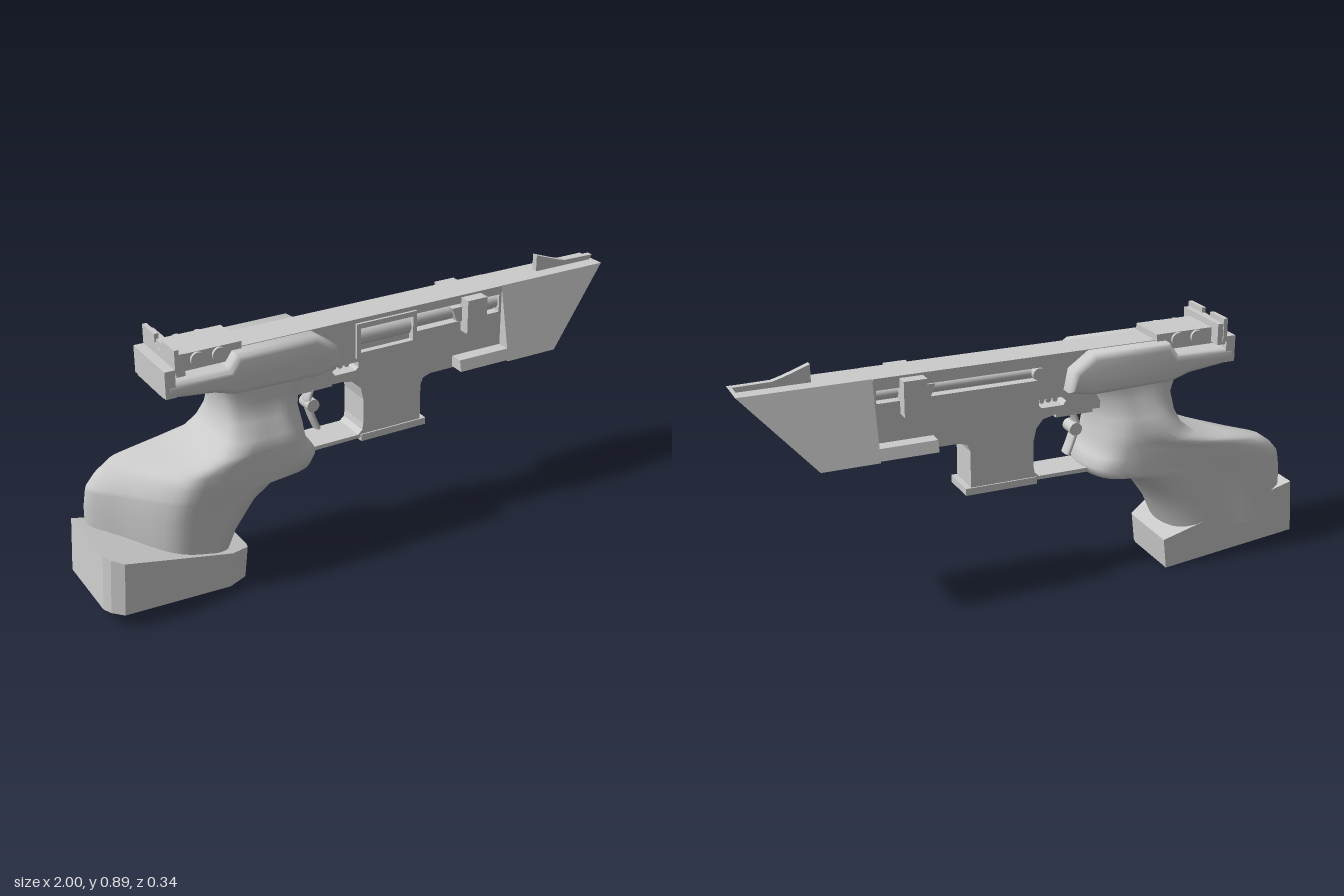
import * as THREE from 'three';
import { toCreasedNormals } from 'three/addons/utils/BufferGeometryUtils.js';

const ZC = -0.01; // centre plane of the frame
const material = new THREE.MeshStandardMaterial({ color: 0xcccccc });
const doubleSided = new THREE.MeshStandardMaterial({ color: 0xcccccc, side: THREE.DoubleSide });

const shapeOf = (pts, holes = []) => {
  const s = new THREE.Shape(pts.map(p => new THREE.Vector2(...p)));
  holes.forEach(h => s.holes.push(new THREE.Path(h.map(p => new THREE.Vector2(...p)))));
  return s;
};
const rect = (x0, x1, y0, y1) => [[x0, y0], [x1, y0], [x1, y1], [x0, y1]];

export function createModel() {
  const root = new THREE.Group();
  const add = (name, geo, mat = material) => {
    const m = new THREE.Mesh(geo, mat);
    m.name = name;
    root.add(m);
    return m;
  };
  // side outline extruded between two z values
  const slab = (name, pts, z0, z1, holes) => add(name, new THREE.ExtrudeGeometry(
    shapeOf(pts, holes), { depth: z1 - z0, bevelEnabled: false }).translate(0, 0, z0));
  const box = (name, x0, x1, y0, y1, z0, z1) => add(name,
    new THREE.BoxGeometry(x1 - x0, y1 - y0, z1 - z0)
      .translate((x0 + x1) / 2, (y0 + y1) / 2, (z0 + z1) / 2));
  const rodX = (name, x0, x1, y, z, r) => add(name,
    new THREE.CylinderGeometry(r, r, x1 - x0, 24).rotateZ(Math.PI / 2)
      .translate((x0 + x1) / 2, y, z));
  const rodZ = (name, x, y, z0, z1, r) => add(name,
    new THREE.CylinderGeometry(r, r, z1 - z0, 20).rotateX(Math.PI / 2)
      .translate(x, y, (z0 + z1) / 2));

  // Frame: a core between two side skins that carry the recesses
  const outline = [[-0.46, 0.83], [0.56, 0.83], [0.56, 0.565], [0.27, 0.565], [0.24, 0.555],
    [0.23, 0.53], [0.23, 0.39], [-0.22, 0.385], [-0.32, 0.42], [-0.32, 0.66], [-0.46, 0.7]];
  const guardHole = [[-0.26, 0.4], [-0.02, 0.4], [-0.004, 0.415], [0, 0.44], [0, 0.53],
    [-0.01, 0.575], [-0.035, 0.605], [-0.08, 0.615], [-0.26, 0.615]];
  const smallHole = [[-0.11, 0.645], [-0.03, 0.645], [-0.02, 0.655], [-0.02, 0.675],
    [-0.11, 0.675], [-0.12, 0.66]];
  const open = [guardHole, smallHole];
  slab('frameCore', outline, ZC - 0.03, ZC + 0.03, open);
  slab('frameLeftSkin', outline, ZC + 0.03, ZC + 0.063,
    [...open, [[-0.03, 0.7], [-0.02, 0.69], [0.19, 0.69], [0.2, 0.7], [0.2, 0.735], [0.55, 0.735],
      [0.55, 0.8], [0.2, 0.8], [0.19, 0.81], [-0.02, 0.81], [-0.03, 0.8]]]);
  slab('frameRightSkin', outline, ZC - 0.063, ZC - 0.03,
    [...open, [[-0.04, 0.765], [-0.03, 0.745], [0.55, 0.745], [0.55, 0.79], [-0.03, 0.79]]]);
  box('magazineBase', -0.01, 0.25, 0.375, 0.4, ZC - 0.068, ZC + 0.068);
  for (const x of [-0.095, -0.07, -0.045]) rodZ('adjustScrew', x, 0.657, ZC - 0.03, ZC + 0.03, 0.009);

  // Loading port, bolt and cocking levers
  slab('portFrame', rect(-0.03, 0.205, 0.69, 0.815), ZC + 0.05, ZC + 0.072,
    [rect(-0.015, 0.19, 0.71, 0.797)]);
  rodX('bolt', -0.03, 0.2, 0.755, ZC + 0.028, 0.033);
  rodX('leftRod', 0.2, 0.55, 0.767, ZC + 0.03, 0.026);
  rodX('rightRod', -0.03, 0.55, 0.767, ZC - 0.03, 0.018);
  rodZ('rightPin', -0.02, 0.767, ZC - 0.066, ZC - 0.03, 0.022);
  for (const s of [1, -1]) {
    const [a, b] = [ZC + s * 0.04, ZC + s * 0.105].sort((p, q) => p - q);
    box('cockingLever', 0.39, 0.47, 0.7, 0.822, a, b);
    slab('leverRamp', [[0.35, 0.79], [0.4, 0.79], [0.4, 0.735], [0.37, 0.74]],
      ...[ZC + s * 0.04, ZC + s * 0.07].sort((p, q) => p - q));
  }

  // Barrel shroud: trapezoid section with bore, cut by a sloping muzzle plane
  const halfWidth = y => 0.061 + (0.83 - y) * 0.226;
  const trapezoid = (y0, y1) => [[-halfWidth(y0), y0], [halfWidth(y0), y0],
    [halfWidth(y1), y1], [-halfWidth(y1), y1]];
  const alongX = (name, shape, x0, x1) => {
    const g = new THREE.ExtrudeGeometry(shape, { depth: 1, bevelEnabled: false, curveSegments: 20 })
      .rotateY(Math.PI / 2).translate(0, 0, ZC);
    const p = g.attributes.position;
    for (let i = 0; i < p.count; i++) p.setX(i, p.getX(i) > 0.5 ? x1(p.getY(i)) : x0);
    g.computeVertexNormals();
    return add(name, g);
  };
  const shroud = shapeOf(trapezoid(0.565, 0.83));
  shroud.holes.push(new THREE.Path().absarc(0, 0.75, 0.027, 0, Math.PI * 2, true));
  alongX('barrelShroud', shroud, 0.56, y => 0.76 + (y - 0.565) * 0.9);
  alongX('shroudLedge', shapeOf(trapezoid(0.57, 0.61)), 0.36, () => 0.56);

  // Sights
  slab('frontSight', [[0.745, 0.83], [0.985, 0.83], [0.995, 0.847], [0.87, 0.849], [0.83, 0.86],
    [0.745, 0.89]], ZC - 0.011, ZC + 0.011);
  box('rearSightBlock', -0.69, -0.455, 0.795, 0.853, ZC - 0.075, ZC + 0.075);
  box('rearSightRail', -0.5, -0.46, 0.78, 0.835, ZC - 0.063, ZC + 0.063);
  const blade = new THREE.ExtrudeGeometry(shapeOf([[-0.122, 0.81], [0.122, 0.81], [0.122, 0.893],
    [0.028, 0.893], [0.028, 0.865], [0.01, 0.852], [-0.01, 0.852], [-0.028, 0.865],
    [-0.028, 0.893], [-0.122, 0.893]]), { depth: 0.015, bevelEnabled: false });
  add('rearSightBlade', blade.rotateY(Math.PI / 2).translate(-0.705, 0, ZC));
  box('rearSightFoot', -0.7, -0.67, 0.8, 0.875, ZC - 0.118, ZC + 0.118);
  for (const x of [-0.61, -0.535]) rodZ('sightScrew', x, 0.828, ZC - 0.085, ZC + 0.085, 0.024);

  // Trigger
  const curve = new THREE.CatmullRomCurve3([[-0.17, 0.6], [-0.185, 0.55], [-0.17, 0.49], [-0.15, 0.44]]
    .map(([x, y]) => new THREE.Vector3(x, y, ZC)));
  add('triggerBlade', new THREE.TubeGeometry(curve, 20, 0.011, 10).translate(0, 0, -ZC)
    .scale(1, 1, 2.5).translate(0, 0, ZC));
  box('triggerBar', -0.24, -0.1, 0.588, 0.606, ZC - 0.025, ZC + 0.025);
  rodZ('triggerPivot', -0.175, 0.535, ZC - 0.03, ZC + 0.03, 0.023);

  // Hand rest over the grip, with rounded edges
  const rest = new THREE.ExtrudeGeometry(shapeOf([[-0.74, 0.785], [-0.52, 0.785], [-0.49, 0.828],
    [-0.2, 0.828], [-0.125, 0.775], [-0.11, 0.7], [-0.2, 0.682], [-0.5, 0.69], [-0.57, 0.712],
    [-0.74, 0.732]]), { depth: 0.195, bevelSize: 0.022, bevelOffset: -0.022, bevelThickness: 0.025,
    bevelSegments: 4 });
  add('handRest', toCreasedNormals(rest.translate(0, 0, ZC - 0.0985), 0.8));
  box('handRestEnd', -0.74, -0.705, 0.735, 0.828, ZC - 0.12, ZC + 0.12);

  // Grip: y, rear x on the right, rear x on the left, front x, left z, right z
  const levels = [
    [0.12, -0.95, -0.76, -0.52, 0.125, -0.165], [0.2, -0.957, -0.76, -0.485, 0.128, -0.165],
    [0.3, -0.955, -0.755, -0.415, 0.135, -0.165], [0.36, -0.945, -0.74, -0.335, 0.14, -0.165],
    [0.375, -0.94, -0.735, -0.21, 0.143, -0.165], [0.41, -0.91, -0.72, -0.19, 0.145, -0.165],
    [0.445, -0.86, -0.7, -0.215, 0.145, -0.165], [0.468, -0.72, -0.65, -0.225, 0.145, -0.165],
    [0.49, -0.6, -0.575, -0.23, 0.145, -0.165], [0.53, -0.545, -0.53, -0.235, 0.138, -0.163],
    [0.58, -0.52, -0.51, -0.24, 0.105, -0.145], [0.64, -0.515, -0.505, -0.23, 0.09, -0.115],
    [0.69, -0.53, -0.525, -0.2, 0.095, -0.115], [0.73, -0.54, -0.53, -0.18, 0.09, -0.11]];
  const N = 40, pos = [], idx = [];
  for (const [y, xb, xc, xf, zl, zr] of levels) {
    const mid = (xb + xf) / 2;
    const loop = new THREE.CatmullRomCurve3([[xf, ZC], [xf - 0.025, zr * 0.7], [xf - 0.08, zr * 0.96],
      [mid, zr], [xb + 0.05, zr], [xb, zr * 0.75], [(xb + xc) / 2 - 0.01, (zr + zl) / 2],
      [xc, zl * 0.8], [xc + 0.06, zl], [(xc + xf) / 2, zl], [xf - 0.08, zl * 0.96], [xf - 0.025, zl * 0.7]]
      .map(([x, z]) => new THREE.Vector3(x, y, z)), true);
    for (let i = 0; i < N; i++) pos.push(...loop.getPoint(i / N).toArray());
  }
  for (let j = 0; j < levels.length - 1; j++) for (let i = 0; i < N; i++) {
    const a = j * N + i, b = j * N + (i + 1) % N;
    idx.push(a, b, a + N, b, b + N, a + N);
  }
  const grip = new THREE.BufferGeometry();
  grip.setAttribute('position', new THREE.Float32BufferAttribute(pos, 3));
  grip.setIndex(idx);
  grip.computeVertexNormals();
  add('grip', grip, doubleSided);

  // Heel block: plan outline with sloping top and bottom
  const heel = new THREE.ExtrudeGeometry(shapeOf([[-1, 0.165], [-1, -0.11], [-0.985, -0.14], [-0.95, -0.17],
    [-0.56, -0.132], [-0.485, -0.09], [-0.48, -0.07], [-0.48, 0.165]]),
    { depth: 1, bevelEnabled: false }).rotateX(-Math.PI / 2);
  const hp = heel.attributes.position;
  for (let i = 0; i < hp.count; i++) {
    const x = hp.getX(i), t = hp.getY(i) > 0.5;
    hp.setXYZ(i, t ? x + 0.013 : x, t ? 0.25 - (x + 1) * 0.265 : 0.055 - (x + 1) * 0.105, hp.getZ(i));
  }
  heel.computeVertexNormals();
  add('heelBlock', heel);

  return root;
}
